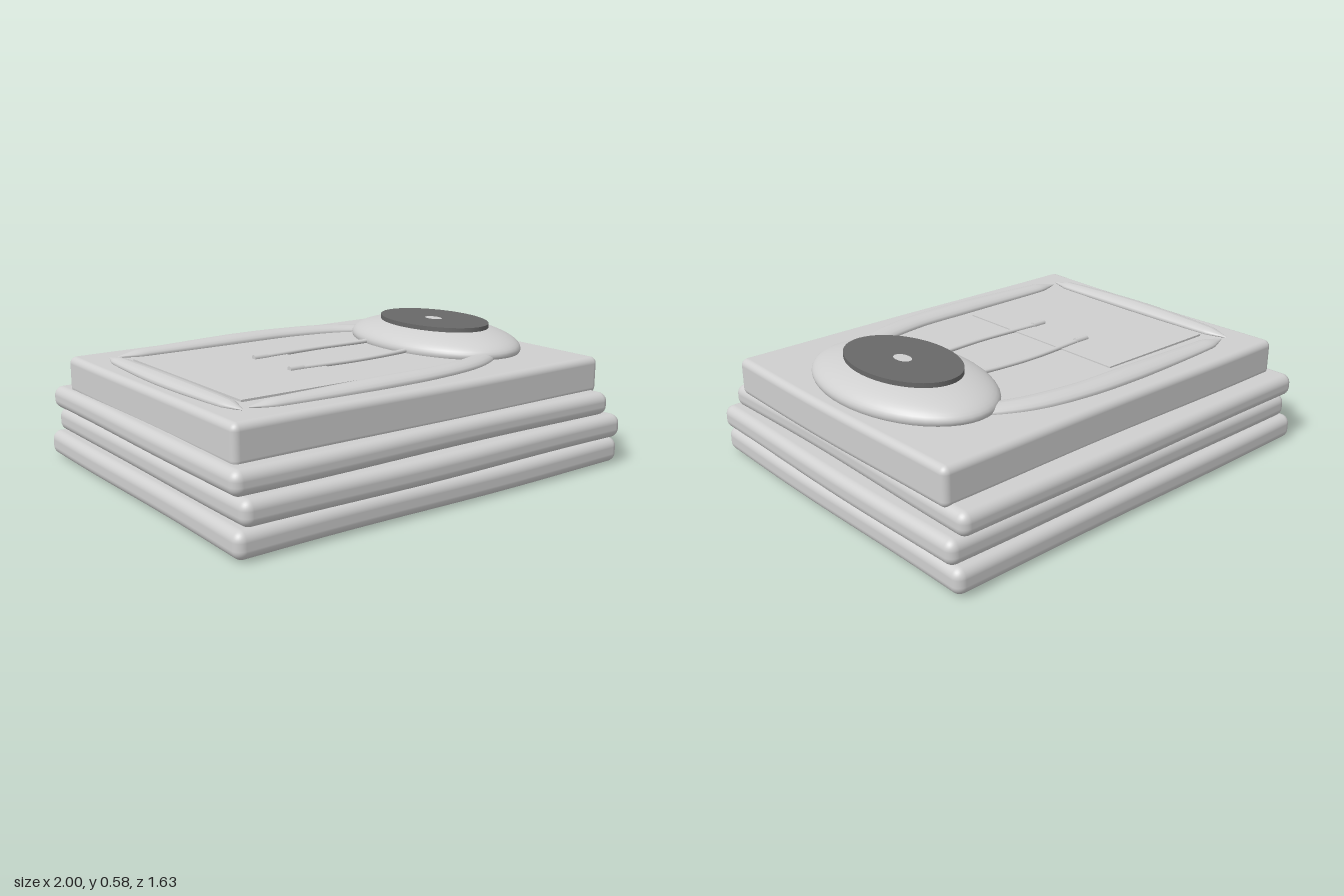
import * as THREE from 'three';

const fabric = new THREE.MeshStandardMaterial({ color: 0xcfcfcf });
fabric.name = 'light grey fabric';
const lining = new THREE.MeshStandardMaterial({ color: 0x686868 });
lining.name = 'dark grey lining';

function part(name, geometry, material = fabric) {
  const mesh = new THREE.Mesh(geometry, material);
  mesh.name = name;
  return mesh;
}

// Soft slab between two corners: vertices crowd into the rounded rim, then sway gently
function foldedSlab(min, max, radius, sway, phase) {
  const segs = [24, 10, 24];
  const geo = new THREE.BoxGeometry(1, 1, 1, ...segs);
  const pos = geo.attributes.position;
  const nor = geo.attributes.normal;
  const half = min.map((v, i) => (max[i] - v) / 2);
  const mid = min.map((v, i) => (max[i] + v) / 2);
  const rim = 4;
  for (let i = 0; i < pos.count; i++) {
    const inner = [];
    const d = new THREE.Vector3();
    for (let a = 0; a < 3; a++) {
      const n = segs[a];
      const k = Math.round((pos.getComponent(i, a) + 0.5) * n);
      const flat = half[a] - radius;
      const edge = Math.max(rim - k, k - (n - rim), 0);
      const t = (k - rim) / (n - 2 * rim);
      inner[a] = THREE.MathUtils.clamp((t * 2 - 1) * flat, -flat, flat);
      const push = Math.tan((edge / rim) * Math.PI / 4);
      d.setComponent(a, (k < n / 2 ? -1 : 1) * push);
    }
    d.normalize();
    nor.setXYZ(i, d.x, d.y, d.z);
    const x = mid[0] + inner[0] + d.x * radius;
    const y = mid[1] + inner[1] + d.y * radius;
    const z = mid[2] + inner[2] + d.z * radius;
    pos.setXYZ(i,
      x + sway * Math.sin(z * 4 + phase),
      y + sway * Math.sin(x * 3.5 + phase) * Math.cos(z * 2.5),
      z + sway * Math.sin(x * 4 + phase));
  }
  return geo;
}

// Flattened roll along a path; radii give its half width from start to end
function clothRoll(points, radii, height) {
  const curve = new THREE.CatmullRomCurve3(points.map(p => new THREE.Vector3(...p)));
  const rings = 48, sides = 16;
  const geo = new THREE.TubeGeometry(curve, rings, 1, sides);
  const pos = geo.attributes.position;
  const v = new THREE.Vector3();
  for (let i = 0; i < pos.count; i++) {
    const t = Math.floor(i / (sides + 1)) / rings;
    const f = t * (radii.length - 1);
    const k = Math.min(Math.floor(f), radii.length - 2);
    const r = THREE.MathUtils.lerp(radii[k], radii[k + 1], f - k);
    const c = curve.getPointAt(t);
    v.fromBufferAttribute(pos, i).sub(c).multiplyScalar(r);
    pos.setXYZ(i, c.x + v.x, c.y + v.y * height, c.z + v.z);
  }
  geo.computeVertexNormals();
  return geo;
}

export function createModel() {
  const model = new THREE.Group();
  model.name = 'foldedClothes';

  // Stack of folded garments
  model.add(
    part('bottomFold', foldedSlab([-0.995, 0.01, -0.81], [0.985, 0.12, 0.812], 0.04, 0.004, 0.5)),
    part('secondFold', foldedSlab([-0.96, 0.12, -0.785], [0.995, 0.225, 0.812], 0.04, 0.004, 2)),
    part('thirdFold', foldedSlab([-0.982, 0.225, -0.805], [0.942, 0.325, 0.77], 0.04, 0.004, 4)),
    part('topFold', foldedSlab([-0.932, 0.305, -0.702], [0.952, 0.47, 0.698], 0.03, 0.004, 1)),
  );

  // Hood and its opening
  const hood = part('hood', new THREE.SphereGeometry(1, 48, 32));
  hood.scale.set(0.307, 0.0985, 0.485);
  hood.position.set(0.593, 0.485, -0.005);
  const opening = part('hoodOpening', new THREE.CylinderGeometry(1, 1, 0.02, 48), lining);
  opening.scale.set(0.198, 1, 0.307);
  opening.position.set(0.593, 0.573, -0.005);
  model.add(hood, opening);

  // Front pocket panel
  const pocket = part('pocket', new THREE.BoxGeometry(0.595, 0.009, 0.89));
  pocket.position.set(-0.445, 0.4725, -0.005);
  model.add(pocket);

  // Rolled hem
  model.add(part('hem', clothRoll(
    [[-0.805, 0.473, -0.55], [-0.818, 0.473, 0], [-0.805, 0.473, 0.55]],
    [0.004, 0.036, 0.042, 0.045, 0.049, 0.051, 0.052, 0.051, 0.049, 0.045, 0.042, 0.036, 0.004], 0.52)));

  for (const side of [-1, 1]) {
    const name = side > 0 ? 'front' : 'back';
    const s = z => side * z - 0.005;

    // Folded sleeve, tapering at the cuff
    model.add(part(name + 'Sleeve', clothRoll(
      [[-0.77, 0.473, s(0.54)], [-0.5, 0.473, s(0.547)], [-0.15, 0.475, s(0.55)],
        [0.13, 0.475, s(0.54)], [0.37, 0.473, s(0.492)], [0.58, 0.47, s(0.39)]],
      [0.004, 0.042, 0.047, 0.051, 0.055, 0.058, 0.061, 0.061, 0.06, 0.058, 0.058, 0.057, 0.054, 0.05, 0.04], 0.5)));

    // Drawstring with its tip
    model.add(part(name + 'Drawstring', clothRoll(
      [[0.36, 0.49, s(0.133)], [0.3, 0.484, s(0.14)], [0.04, 0.48, s(0.156)], [-0.27, 0.48, s(0.139)]],
      [0.011, 0.011], 0.9)));
    const tip = part(name + 'DrawstringTip', new THREE.CylinderGeometry(0.014, 0.014, 0.07, 12));
    tip.rotation.z = Math.PI / 2;
    tip.position.set(-0.285, 0.48, s(0.138));
    model.add(tip);
  }
  return model;
}
